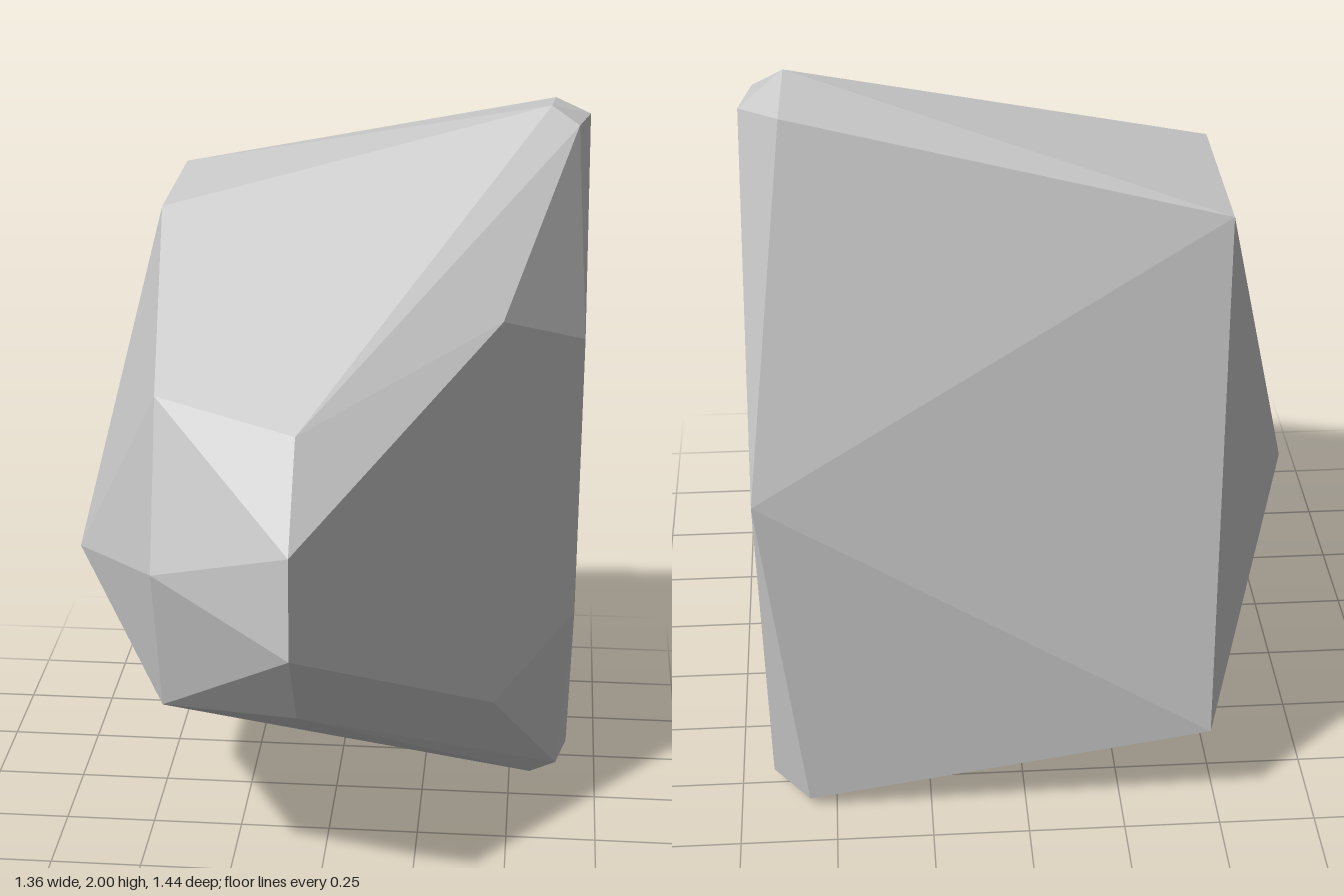
import * as THREE from 'three';
import { ConvexGeometry } from 'three/addons/geometries/ConvexGeometry.js';

// Corners of the upper half; each has a twin in the lower half
const upperCorners = [
  // left edge of the sloping top
  [-0.47, 1.74, -0.72], [-0.47, 1.74, -0.24],
  // chipped peak
  [0.56, 2.0, -0.39], [0.57, 1.97, -0.615], [0.635, 1.953, -0.365], [0.665, 1.953, -0.505],
  // shoulders of the flank
  [0.67, 1.41, -0.21], [0.455, 1.55, 0.09],
  // blunt nose
  [-0.035, 1.145, 0.72], [-0.035, 1.39, 0.54], [-0.4, 1.435, 0.405],
];

// Corners lying near the middle, without a twin
const middleCorners = [
  [0.676, 1.0, -0.72],
  [-0.4, 1.01, 0.545],
  [-0.683, 0.86, -0.32], [-0.672, 0.865, 0.04],
];

export function createModel() {
  const points = middleCorners.map((p) => new THREE.Vector3(...p));
  for (const [x, y, z] of upperCorners) {
    points.push(new THREE.Vector3(x, y, z), new THREE.Vector3(x, 2.0 - y + (y < 1.9 ? 0.015 : 0), z));
  }

  // Faceted stone: the convex hull of its corners
  const rock = new THREE.Mesh(
    new ConvexGeometry(points),
    new THREE.MeshStandardMaterial({ color: 0xcccccc, flatShading: true })
  );
  rock.name = 'rock';

  const group = new THREE.Group();
  group.name = 'facetedRock';
  group.add(rock);
  return group;
}
